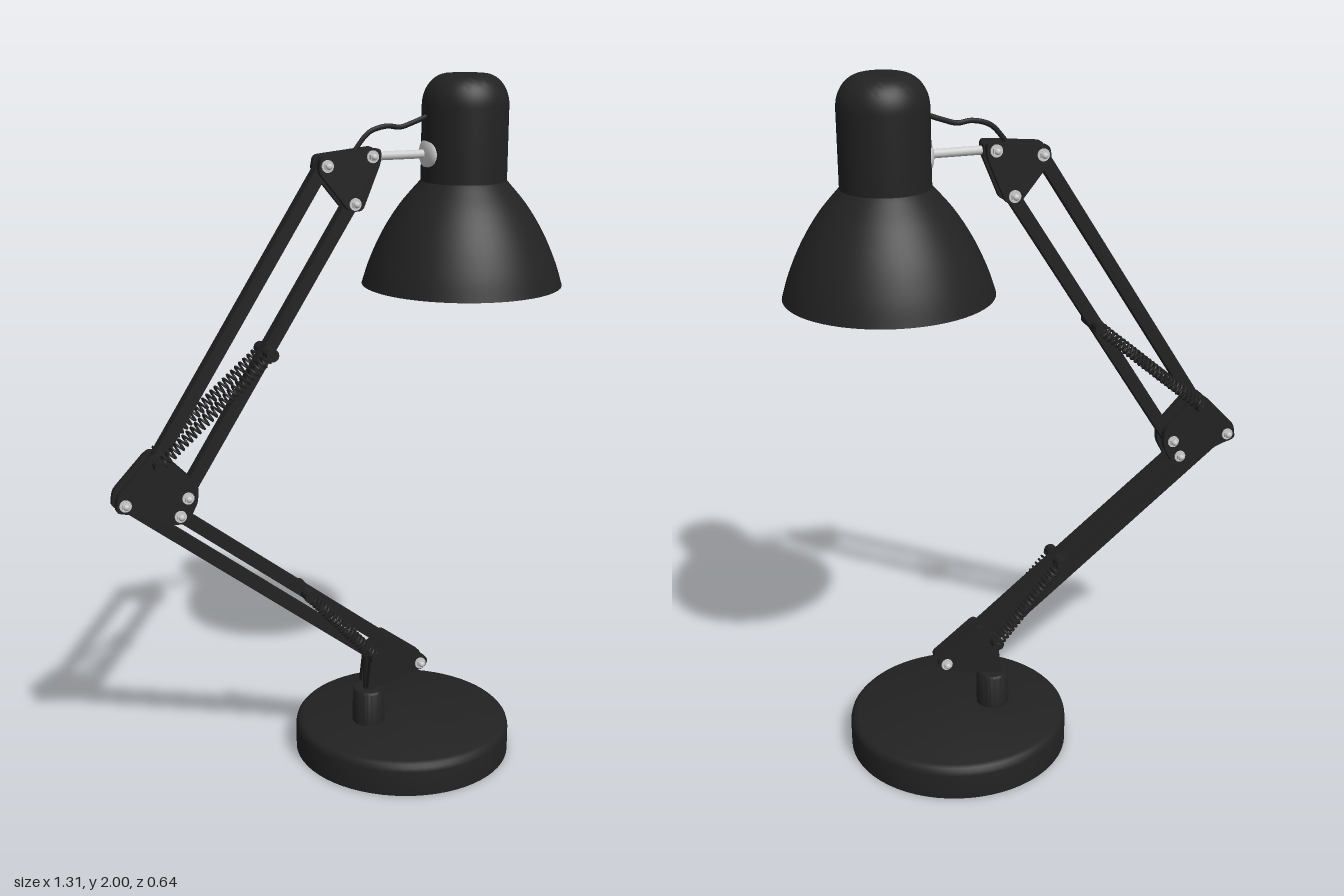
import * as THREE from 'three';
import { toCreasedNormals } from 'three/addons/utils/BufferGeometryUtils.js';

const dark = new THREE.MeshStandardMaterial({ color: 0x222222 });
const grey = new THREE.MeshStandardMaterial({ color: 0xcccccc });
const V2 = (x, y) => new THREE.Vector2(x, y);
const V3 = (x, y, z = 0) => new THREE.Vector3(x, y, z);

// Pivot points in the side plane of the arm
const P = {
  baseBack: V3(0.093, 0.325), baseFront: V3(0.245, 0.275),
  elbowOuter: V3(-0.635, 0.89), elbowLow: V3(-0.483, 0.84),
  elbowTop: V3(-0.54, 0.995), elbowInner: V3(-0.46, 0.89),
  headBack: V3(-0.05, 1.77), headLow: V3(0.03, 1.665), headFront: V3(0.08, 1.79),
};
const LAMP_X = 0.37;

export function createModel() {
  const root = new THREE.Group();

  const add = (name, geometry, material = dark, x = 0, y = 0, z = 0) => {
    const mesh = new THREE.Mesh(geometry, material);
    mesh.name = name;
    mesh.position.set(x, y, z);
    root.add(mesh);
    return mesh;
  };
  const lathe = (name, points, x, material = dark, crease = 0.6) =>
    add(name, toCreasedNormals(new THREE.LatheGeometry(points.map(p => V2(...p)), 64), crease), material, x);

  // Square bar between two pivots
  const bar = (name, a, b) => {
    const d = b.clone().sub(a);
    const mesh = add(name, new THREE.BoxGeometry(d.length() + 0.03, 0.036, 0.034), dark, (a.x + b.x) / 2, (a.y + b.y) / 2);
    mesh.rotation.z = Math.atan2(d.y, d.x);
  };

  // Cylinder lying across the arm
  const crossPin = (name, p, r, length, material = dark, sides = 20) => {
    const g = new THREE.CylinderGeometry(r, r, length, sides).rotateX(Math.PI / 2);
    return add(name, toCreasedNormals(g, 0.6), material, p.x, p.y, p.z);
  };

  // Pair of cheek plates cut from a rounded outline
  const plates = (name, outline) => {
    const shape = new THREE.Shape();
    const n = outline.length;
    outline.forEach((p, i) => {
      const c = V2(...p);
      const prev = V2(...outline[(i + n - 1) % n]), next = V2(...outline[(i + 1) % n]);
      const a = c.clone().add(prev.sub(c).setLength(0.014));
      const b = c.clone().add(next.sub(c).setLength(0.014));
      if (i) shape.lineTo(a.x, a.y); else shape.moveTo(a.x, a.y);
      shape.quadraticCurveTo(c.x, c.y, b.x, b.y);
    });
    shape.closePath();
    const g = new THREE.ExtrudeGeometry(shape, { depth: 0.018, bevelEnabled: false, curveSegments: 5 });
    for (const z of [0.017, -0.035]) add(name, g, dark, 0, 0, z);
  };

  // Bolt with a washer and a domed nut on both sides
  const bolt = p => {
    crossPin('boltShank', p, 0.007, 0.1, grey);
    for (const s of [-1, 1]) {
      crossPin('boltWasher', V3(p.x, p.y, s * 0.037), 0.017, 0.004, grey);
      crossPin('boltNut', V3(p.x, p.y, s * 0.042), 0.012, 0.01, grey, 6);
      const dome = add('boltDome', new THREE.SphereGeometry(0.009, 12, 8), grey, p.x, p.y, s * 0.047);
      dome.scale.z = 0.9;
    }
  };

  // Coil spring
  const spring = (a, b, coils) => {
    const axis = b.clone().sub(a);
    const u = V3(-axis.y, axis.x).normalize();
    const v = axis.clone().normalize().cross(u);
    const curve = new THREE.Curve();
    curve.getPoint = (t, target = new THREE.Vector3()) => {
      const w = t * coils * Math.PI * 2;
      return target.copy(a).addScaledVector(axis, t)
        .addScaledVector(u, 0.015 * Math.cos(w)).addScaledVector(v, 0.015 * Math.sin(w));
    };
    add('spring', new THREE.TubeGeometry(curve, coils * 12, 0.0035, 5), dark);
  };
  const springPair = (top, bottom, coils) => {
    crossPin('springTopPin', top, 0.018, 0.112);
    crossPin('springBottomPin', bottom, 0.017, 0.126);
    for (const s of [-1, 1])
      spring(V3(top.x, top.y, s * 0.039), V3(bottom.x, bottom.y, s * 0.047), coils);
  };

  // Base and stem
  lathe('base', [[0, 0], [0.322, 0], [0.322, 0.075], [0.319, 0.087], [0.312, 0.095], [0.3, 0.1], [0, 0.1]], 0.203);
  lathe('stem', [[0, 0.09], [0.048, 0.09], [0.048, 0.2], [0.044, 0.206], [0, 0.206]], 0.093);
  add('stemPin', new THREE.CylinderGeometry(0.017, 0.017, 0.12, 20), dark, 0.093, 0.255);

  // Brackets
  plates('baseBracket', [[0.075, 0.212], [0.262, 0.258], [0.272, 0.285], [0.142, 0.382], [0.088, 0.335]]);
  plates('elbowBracket', [[-0.662, 0.872], [-0.655, 0.918], [-0.56, 1.018], [-0.525, 1.022], [-0.43, 0.925],
    [-0.432, 0.875], [-0.462, 0.817], [-0.5, 0.817], [-0.62, 0.862]]);
  plates('headBracket', [[-0.075, 1.755], [-0.068, 1.795], [0.105, 1.812], [0.105, 1.775], [0.052, 1.645], [0.015, 1.645]]);

  // Parallel arms
  bar('lowerArmBack', P.elbowOuter, P.baseBack);
  bar('lowerArmFront', P.elbowLow, P.baseFront);
  bar('upperArmBack', P.elbowTop, P.headBack);
  bar('upperArmFront', P.elbowInner, P.headLow);
  for (const key of ['baseFront', 'elbowOuter', 'elbowLow', 'elbowInner', 'headBack', 'headLow', 'headFront']) bolt(P[key]);

  // Springs
  springPair(V3(-0.217, 1.272), P.elbowTop, 27);
  springPair(V3(-0.11, 0.55), P.baseBack, 22);

  // Link to the lamp head
  add('linkBlock', new THREE.BoxGeometry(0.07, 0.03, 0.034), dark, 0.075, 1.79);
  add('linkRod', new THREE.CylinderGeometry(0.012, 0.012, 0.17, 20).rotateZ(Math.PI / 2), grey, 0.175, 1.787);
  add('linkCap', new THREE.SphereGeometry(1, 32, 20), grey, 0.262, 1.787).scale.set(0.019, 0.046, 0.052);

  // Cable
  const cablePath = new THREE.CatmullRomCurve3([V3(0.03, 1.785), V3(0.05, 1.815), V3(0.085, 1.852), V3(0.135, 1.866),
    V3(0.175, 1.862), V3(0.21, 1.872), V3(0.265, 1.892)]);
  add('cable', new THREE.TubeGeometry(cablePath, 48, 0.007, 8), dark);

  // Shade: bell, neck and rounded cap, with a pale lining
  const bell = new THREE.SplineCurve([V2(0.283, 1.42), V2(0.262, 1.485), V2(0.226, 1.565), V2(0.178, 1.642), V2(0.125, 1.705)])
    .getPoints(20).map(p => [p.x, p.y]);
  const cap = [];
  for (let i = 0; i <= 12; i++) {
    const a = (i / 12) * Math.PI / 2;
    cap.push([0.05 + 0.07 * Math.cos(a), 1.915 + 0.085 * Math.sin(a)]);
  }
  lathe('shade', [[0.277, 1.42], ...bell, [0.12, 1.71], ...cap, [0, 2]], LAMP_X);
  const lining = bell.map(([x, y]) => [x - 0.006, y]).reverse();
  lathe('shadeLining', [[0, 1.72], [0.11, 1.72], ...lining], LAMP_X, grey);

  // Bulb
  add('bulb', new THREE.SphereGeometry(0.11, 40, 24), grey, LAMP_X, 1.555);
  add('bulbNeck', new THREE.CylinderGeometry(0.05, 0.07, 0.1, 32), grey, LAMP_X, 1.68);

  return root;
}
